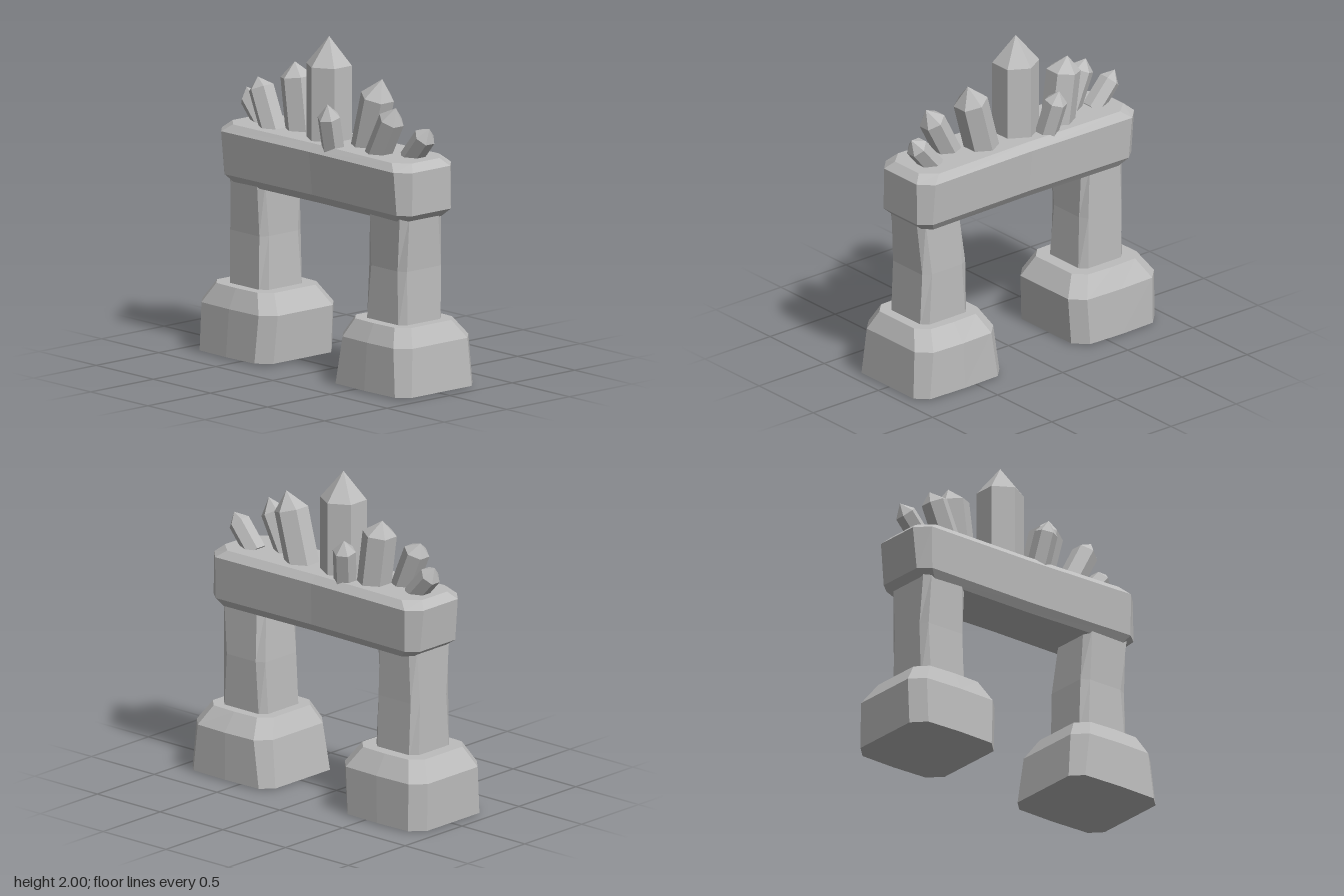
import * as THREE from 'three';

const stone = new THREE.MeshStandardMaterial({ color: 0xbcbcbc, flatShading: true });
stone.name = 'pale stone';
const V = (x, y, z) => new THREE.Vector3(x, y, z);

// Faceted solid through rings of points (bottom to top), closed by fans to two end points
function loft(name, rings, bottom, top) {
  const pos = [];
  const tri = (...pts) => pts.forEach((p) => pos.push(p.x, p.y, p.z));
  const n = rings[0].length;
  const last = rings[rings.length - 1];
  for (let i = 0; i < n; i++) {
    const j = (i + 1) % n;
    tri(bottom, rings[0][j], rings[0][i]);
    for (let k = 0; k + 1 < rings.length; k++) {
      const a = rings[k], b = rings[k + 1];
      tri(a[i], a[j], b[j]);
      tri(a[i], b[j], b[i]);
    }
    tri(last[i], last[j], top);
  }
  const geometry = new THREE.BufferGeometry();
  geometry.setAttribute('position', new THREE.Float32BufferAttribute(pos, 3));
  geometry.computeVertexNormals();
  const mesh = new THREE.Mesh(geometry, stone);
  mesh.name = name;
  return mesh;
}

// Rectangle with cut corners; bulge pushes the middle of the long faces out or in
function ring([y, x0, x1, z0, z1, cx, cz = cx], bulge) {
  const m = (x0 + x1) / 2;
  return [
    V(x0 + cx, y, z1), V(m, y, z1 + bulge), V(x1 - cx, y, z1),
    V(x1, y, z1 - cz), V(x1, y, z0 + cz),
    V(x1 - cx, y, z0), V(m, y, z0 - bulge), V(x0 + cx, y, z0),
    V(x0, y, z0 + cz), V(x0, y, z1 - cz),
  ];
}

// Hewn block from rows of [y, x0, x1, z0, z1, corner cut in x, corner cut in z]
function block(name, rows, bulge = 0) {
  const ends = [rows[0], rows[rows.length - 1]].map(
    ([y, x0, x1, z0, z1]) => V((x0 + x1) / 2, y, (z0 + z1) / 2));
  ends[0].y = Math.max(0, ends[0].y - 0.01);
  return loft(name, rows.map((r) => ring(r, bulge)), ends[0], ends[1]);
}

// Six-sided crystal along the line from base to shoulder, ending in a point
function crystal(base, shoulder, tip, radius) {
  const [b, s, t] = [base, shoulder, tip].map((p) => V(...p));
  const w = s.clone().sub(b).normalize();
  const v = V(0, 0, 1).addScaledVector(w, -w.z).normalize();
  const u = w.clone().cross(v);
  const hex = (c) => Array.from({ length: 6 }, (_, i) => c.clone()
    .addScaledVector(u, radius * Math.sin(i * Math.PI / 3))
    .addScaledVector(v, radius * Math.cos(i * Math.PI / 3)));
  return loft('crystal', [hex(b), hex(s)], b, t);
}

export function createModel() {
  const model = new THREE.Group();
  model.name = 'crystalArch';

  // Foot blocks
  model.add(block('rightFoot', [
    [0.01, -0.93, -0.29, -0.31, 0.31, 0.08],
    [0.30, -0.93, -0.27, -0.305, 0.295, 0.08],
    [0.42, -0.85, -0.35, -0.23, 0.24, 0.07],
  ], 0.008));
  model.add(block('leftFoot', [
    [0.01, 0.27, 0.93, -0.31, 0.31, 0.07],
    [0.30, 0.305, 0.91, -0.305, 0.295, 0.08],
    [0.41, 0.365, 0.85, -0.22, 0.24, 0.07],
  ], 0.008));

  // Pillars
  model.add(block('rightPillar', [
    [0.38, -0.77, -0.43, -0.165, 0.18, 0.045, 0.04],
    [0.74, -0.765, -0.45, -0.16, 0.17, 0.03, 0.05],
    [1.06, -0.76, -0.45, -0.16, 0.18, 0.04, 0.03],
  ]));
  model.add(block('leftPillar', [
    [0.38, 0.43, 0.785, -0.165, 0.18, 0.04],
    [0.73, 0.445, 0.775, -0.165, 0.165, 0.05, 0.03],
    [1.06, 0.47, 0.79, -0.15, 0.18, 0.03, 0.05],
  ]));

  // Lintel
  model.add(block('lintel', [
    [1.03, -0.74, 0.78, -0.185, 0.175, 0.05],
    [1.08, -0.81, 0.835, -0.22, 0.21, 0.07, 0.06],
    [1.34, -0.835, 0.835, -0.235, 0.225, 0.08, 0.08],
    [1.385, -0.785, 0.785, -0.195, 0.185, 0.09, 0.08],
  ], -0.012));

  // Crystals: base, shoulder, tip, radius
  const crystals = new THREE.Group();
  crystals.name = 'crystals';
  [
    [[-0.055, 1.34, 0], [-0.055, 1.83, 0], [-0.055, 2, 0], 0.141],
    [[-0.63, 1.36, -0.015], [-0.763, 1.507, -0.015], [-0.8, 1.565, -0.02], 0.066],
    [[-0.485, 1.35, 0.05], [-0.595, 1.605, 0.05], [-0.63, 1.665, 0.045], 0.08],
    [[-0.335, 1.34, -0.045], [-0.385, 1.695, -0.045], [-0.41, 1.78, -0.05], 0.104],
    [[-0.18, 1.34, -0.12], [-0.22, 1.58, -0.175], [-0.23, 1.65, -0.19], 0.07],
    [[0.125, 1.36, 0.13], [0.145, 1.57, 0.185], [0.15, 1.65, 0.2], 0.07],
    [[0.23, 1.34, -0.04], [0.325, 1.69, -0.04], [0.355, 1.8, -0.05], 0.104],
    [[0.41, 1.34, 0.05], [0.547, 1.6, 0.05], [0.59, 1.68, 0.055], 0.08],
    [[0.61, 1.36, -0.04], [0.74, 1.515, -0.04], [0.78, 1.57, -0.04], 0.068],
  ].forEach((c) => crystals.add(crystal(...c)));
  model.add(crystals);
  return model;
}
